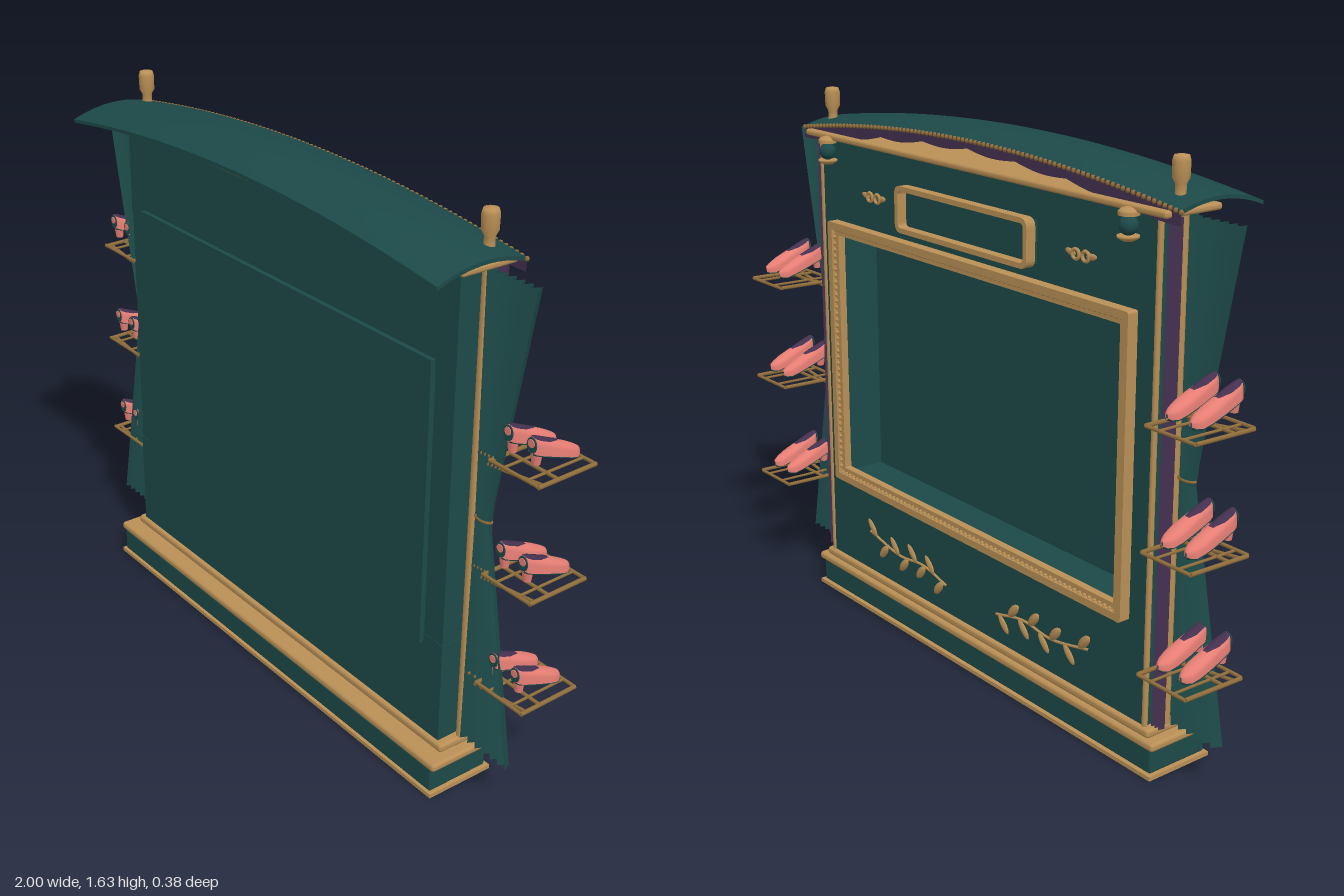
import * as THREE from 'three';
import { RoundedBoxGeometry } from 'three/addons/geometries/RoundedBoxGeometry.js';

const mat = (name, color) => Object.assign(new THREE.MeshStandardMaterial({ color }), { name });

export function createModel() {
  const root = new THREE.Group();
  root.name = 'displayCabinet';
  const teal = mat('teal', 0x1c4948), tealCloth = mat('tealCloth', 0x1c4948);
  const gold = mat('gold', 0xb98f55), bronze = mat('bronze', 0x8f6d3b);
  const purple = mat('purple', 0x43304f), pink = mat('pink', 0xe87f75);
  tealCloth.side = purple.side = THREE.DoubleSide;

  const add = (name, geo, m, x = 0, y = 0, z = 0, parent = root) => {
    const mesh = new THREE.Mesh(geo, m);
    mesh.name = name;
    mesh.position.set(x, y, z);
    parent.add(mesh);
    return mesh;
  };
  // box given by its limits, optionally with rounded edges
  const box = (name, m, x0, x1, y0, y1, z0, z1, r = 0) => {
    const s = [Math.abs(x1 - x0), y1 - y0, z1 - z0];
    return add(name, r ? new RoundedBoxGeometry(...s, 2, r) : new THREE.BoxGeometry(...s), m,
      (x0 + x1) / 2, (y0 + y1) / 2, (z0 + z1) / 2);
  };
  const rod = (name, m, a, b, r) => {
    const p = new THREE.Vector3(...a), d = new THREE.Vector3(...b).sub(p);
    const mesh = add(name, new THREE.CylinderGeometry(r, r, d.length(), 8), m);
    mesh.position.copy(p).addScaledVector(d, 0.5);
    mesh.quaternion.setFromUnitVectors(new THREE.Vector3(0, 1, 0), d.normalize());
  };
  // grid surface: f(u, v) gives a point
  const surface = (nu, nv, f, flat = false) => {
    let g = new THREE.PlaneGeometry(1, 1, nu, nv);
    const { position: p, uv } = g.attributes;
    for (let i = 0; i < p.count; i++) p.setXYZ(i, ...f(uv.getX(i), uv.getY(i)));
    if (flat) g = g.toNonIndexed();
    g.computeVertexNormals();
    return g;
  };
  const zig = t => Math.abs((t % 2) - 1) * 2 - 1;
  const lathe = pts => new THREE.LatheGeometry(pts.map(p => new THREE.Vector2(...p)), 20);
  const roundRect = (C, w, h, r) => {
    const s = new C(), x = w / 2, y = h / 2;
    s.moveTo(-x + r, -y); s.lineTo(x - r, -y); s.quadraticCurveTo(x, -y, x, -y + r);
    s.lineTo(x, y - r); s.quadraticCurveTo(x, y, x - r, y);
    s.lineTo(-x + r, y); s.quadraticCurveTo(-x, y, -x, y - r);
    s.lineTo(-x, -y + r); s.quadraticCurveTo(-x, -y, -x + r, -y);
    return s;
  };
  const frame = (name, w, h, t, r, y, z, depth) => {
    const s = roundRect(THREE.Shape, w, h, r);
    s.holes.push(roundRect(THREE.Path, w - 2 * t, h - 2 * t, Math.max(r - t, 0.002)));
    add(name, new THREE.ExtrudeGeometry(s, { depth, bevelEnabled: false, curveSegments: 6 }), gold, 0, y, z);
  };

  // plinth
  box('plinthFoot', gold, -0.79, 0.79, 0, 0.012, -0.1, 0.115);
  box('plinth', teal, -0.78, 0.78, 0.012, 0.085, -0.09, 0.108, 0.006);
  box('plinthMoulding', gold, -0.795, 0.795, 0.083, 0.108, -0.1, 0.112, 0.01);
  box('plinthStep', gold, -0.765, 0.765, 0.106, 0.132, -0.088, 0.062, 0.01);

  // cabinet body around a deep niche
  box('upperPanel', teal, -0.74, 0.74, 1.2, 1.485, -0.075, 0.05);
  box('lowerPanel', teal, -0.74, 0.74, 0.13, 0.435, -0.075, 0.05);
  for (const s of [-1, 1]) box('sidePanel', teal, s * 0.635, s * 0.738, 0.435, 1.2, -0.075, 0.048);
  box('nichePanel', teal, -0.665, 0.665, 0.41, 1.23, 0.045, 0.064);
  box('cornice', gold, -0.785, 0.785, 1.485, 1.504, -0.104, 0.085, 0.008);

  // niche frame with a beaded rim
  frame('nicheFrameOuter', 1.34, 0.83, 0.022, 0.008, 0.825, -0.108, 0.035);
  frame('nicheFrameInner', 1.31, 0.8, 0.025, 0.006, 0.825, -0.096, 0.023);
  const beads = [];
  for (let x = -0.64; x <= 0.641; x += 0.02) beads.push([x, 0.432, -0.098], [x, 1.218, -0.098]);
  for (let y = 0.452; y <= 1.21; y += 0.02) beads.push([-0.648, y, -0.098], [0.648, y, -0.098]);
  const bead = new THREE.SphereGeometry(0.007, 6, 4);
  for (const b of beads) add('frameBead', bead, gold, ...b);

  // sign panel
  frame('signFrame', 0.59, 0.135, 0.015, 0.028, 1.34, -0.12, 0.03);
  box('signPanel', teal, -0.285, 0.285, 1.282, 1.398, -0.088, -0.074);

  // arched canopy
  const W = 0.815, Z0 = -0.085, Z1 = 0.19;
  const roof = (x, z) => 1.53 - 1.35 * (z - 0.04) ** 2 + 0.061 * (1 - (x / W) ** 2);
  const X = u => W * (2 * u - 1), Z = v => Z1 + (Z0 - Z1) * v, T = 0.01;
  add('canopyTop', surface(40, 12, (u, v) => [X(u), roof(X(u), Z(v)), Z(v)]), teal);
  add('canopyLining', surface(40, 12, (u, v) => [X(u), roof(X(u), Z(1 - v)) - T, Z(1 - v)]), purple);
  add('canopyFrontEdge', surface(40, 1, (u, v) => [X(u), roof(X(u), Z1) - T * (1 - v), Z1]), teal);
  for (const s of [-1, 1]) {
    add('canopySideEdge', surface(12, 1, (u, v) => [s * W, roof(W, Z(u)) - T * (1 - v), Z(u)]), tealCloth);
  }
  // scalloped valance, deeper towards its ends, and piping along the canopy's edge
  add('valance', surface(120, 1, (u, v) => [X(u), roof(X(u), Z0) - (1 - v) *
    (0.025 + 0.012 * Math.abs(2 * u - 1) + 0.01 * Math.abs(Math.sin(u * Math.PI * 8))), Z0]), purple);
  for (let i = 0; i <= 90; i++) {
    const x = X(i / 90);
    add('canopyBead', bead, bronze, x, roof(x, Z0) - 0.004, Z0);
  }

  // shoe: sections from toe to heel as z, half width, sole height, top height
  const sections = [[-0.164, 0.003, 0.022, 0.034], [-0.158, 0.013, 0.02, 0.041], [-0.145, 0.021, 0.02, 0.049],
    [-0.12, 0.026, 0.029, 0.062], [-0.085, 0.025, 0.04, 0.078], [-0.05, 0.022, 0.051, 0.093],
    [-0.022, 0.019, 0.06, 0.105], [-0.01, 0.015, 0.064, 0.109], [-0.006, 0.005, 0.066, 0.108]];
  const last = sections.length - 1;
  const onUpper = ([z, w, b, t], a, lift = 0) =>
    [w * Math.cos(a), b + lift + (t - b) * Math.pow(Math.max(0, Math.sin(a)), 0.5), z];
  const upperGeo = surface(24, last, (u, v) => onUpper(sections[Math.round(v * last)], u * Math.PI * 2));
  const openingGeo = surface(8, 4, (u, v) => {
    const i = Math.round(v * 4), half = [0.3, 0.8, 0.85, 0.75, 0.3][i];
    return onUpper(sections[4 + i], Math.PI / 2 + half * (2 * u - 1), 0.0015);
  });
  const soleGeo = surface(12, last, (u, v) => {
    const [z, w, b] = sections[Math.round(v * last)], a = u * Math.PI * 2;
    return [w * 1.08 * Math.cos(a), b - 0.001 + 0.004 * Math.sin(a), z];
  });
  const heelGeo = new THREE.CylinderGeometry(0.015, 0.011, 0.03, 10);
  const counterGeo = new THREE.CylinderGeometry(1, 1, 0.003, 16).rotateX(Math.PI / 2).scale(0.016, 0.021, 1);
  const patchGeo = new THREE.CylinderGeometry(1, 1, 0.003, 12).rotateX(Math.PI / 2).scale(0.011, 0.011, 1);
  const shoe = (x, y) => {
    const g = new THREE.Group();
    g.name = 'shoe';
    g.position.set(x, y, 0);
    root.add(g);
    add('shoeUpper', upperGeo, pink, 0, 0, 0, g);
    add('shoeOpening', openingGeo, purple, 0, 0, 0, g);
    add('shoeSole', soleGeo, teal, 0, 0, 0, g);
    add('shoeHeel', heelGeo, pink, 0, 0.046, -0.024, g);
    add('heelCounter', counterGeo, teal, 0, 0.086, -0.006, g);
    add('heelPatch', patchGeo, pink, 0, 0.091, -0.004, g);
  };

  // pointed leaf
  const leafGeo = new THREE.SphereGeometry(1, 4, 8).rotateZ(Math.PI / 2).scale(0.032, 0.014, 0.007);
  for (const s of [-1, 1]) {
    // corner posts, lining strip and finial
    rod('post', gold, [s * 0.757, 0.13, -0.015], [s * 0.757, 1.49, -0.015], 0.011);
    rod('cornerTrim', gold, [s * 0.738, 0.13, -0.073], [s * 0.738, 1.49, -0.073], 0.008);
    add('liningStrip', surface(6, 1, (u, v) =>
      [s * (0.748 + 0.038 * u), 0.135 + 1.35 * v, -0.056 + 0.009 * zig(u * 6)], true), purple);
    add('finial', lathe([[0, 0], [0.018, 0], [0.018, 0.02], [0.014, 0.03], [0.014, 0.055], [0.022, 0.07],
      [0.023, 0.11], [0.019, 0.123], [0, 0.127]]), gold, s * 0.75, 1.501, -0.025);

    // pleated curtain gathered in the middle
    add('curtain', surface(12, 20, (u, v) => {
      const y = 0.14 + 1.345 * v, k = Math.abs(y - 0.825) / 0.67;
      return [s * (0.773 + (0.05 + 0.122 * k) * u), y, -0.014 + (0.006 + 0.008 * k) * zig(u * 12)];
    }, true), tealCloth);
    const tie = add('curtainTie', new THREE.TorusGeometry(0.027, 0.004, 6, 20), bronze, s * 0.798, 0.825, -0.014);
    tie.rotation.x = Math.PI / 2;
    tie.scale.y = 0.5;

    // lamps
    add('lampCup', lathe([[0, 0], [0.014, 0], [0.028, 0.008], [0.028, 0.014], [0, 0.014]]), gold, s * 0.66, 1.414, -0.105);
    add('lampGlobe', new THREE.SphereGeometry(0.025, 16, 12), teal, s * 0.66, 1.452, -0.105);
    add('lampCap', new THREE.SphereGeometry(0.027, 16, 8, 0, Math.PI * 2, 0, Math.PI / 2).scale(1, 0.5, 1),
      gold, s * 0.66, 1.484, -0.105);
    add('lampCapBase', new THREE.CylinderGeometry(0.027, 0.027, 0.008, 16), gold, s * 0.66, 1.481, -0.105);

    // small scroll beside the sign
    for (const d of [-1, 1]) {
      add('scrollRing', new THREE.TorusGeometry(0.013, 0.005, 6, 16), gold, s * 0.46 + d * 0.019, 1.338, -0.079);
      const leaf = add('scrollLeaf', leafGeo, gold, s * 0.46 + d * 0.04, 1.34, -0.078);
      leaf.scale.setScalar(0.65);
      leaf.rotation.z = d * 0.15;
    }

    // leafy spray on the lower panel
    const stem = new THREE.CatmullRomCurve3([[0.12, 0.22], [0.24, 0.245], [0.36, 0.235], [0.52, 0.265]]
      .map(([x, y]) => new THREE.Vector3(s * x, y, -0.078)));
    add('sprayStem', new THREE.TubeGeometry(stem, 24, 0.004, 6), gold);
    for (let i = 0; i < 8; i++) {
      const p = stem.getPoint((i + 0.5) / 8), d = i % 2 ? 1 : -1;
      add('sprayLeaf', leafGeo, gold, p.x + s * 0.014, p.y + d * 0.024, -0.081).rotation.z = s * d * 0.8;
    }

    // wire shelves, each holding a pair of shoes
    for (const y of [1.01, 0.685, 0.355]) {
      const a = 0.825, b = 0.993, z0 = -0.187, z1 = 0.005;
      for (const x of [a, b]) rod('shelfSide', bronze, [s * x, y, z0], [s * x, y - 0.004, z1], 0.006);
      for (const z of [z0, -0.06, z1]) rod('shelfBar', bronze, [s * a, y - 0.001, z], [s * b, y - 0.001, z], 0.005);
      for (const x of [0.872, 0.952]) {
        rod('shelfSlat', bronze, [s * x, y, z0], [s * x, y - 0.003, z1], 0.004);
        shoe(s * x, y + 0.003);
      }
      rod('shelfBracket', bronze, [s * 0.8, y - 0.03, -0.015], [s * b, y - 0.005, -0.015], 0.005);
      rod('shelfArm', bronze, [s * 0.757, y - 0.01, -0.015], [s * a, y - 0.004, -0.015], 0.005);
    }
  }
  return root;
}
